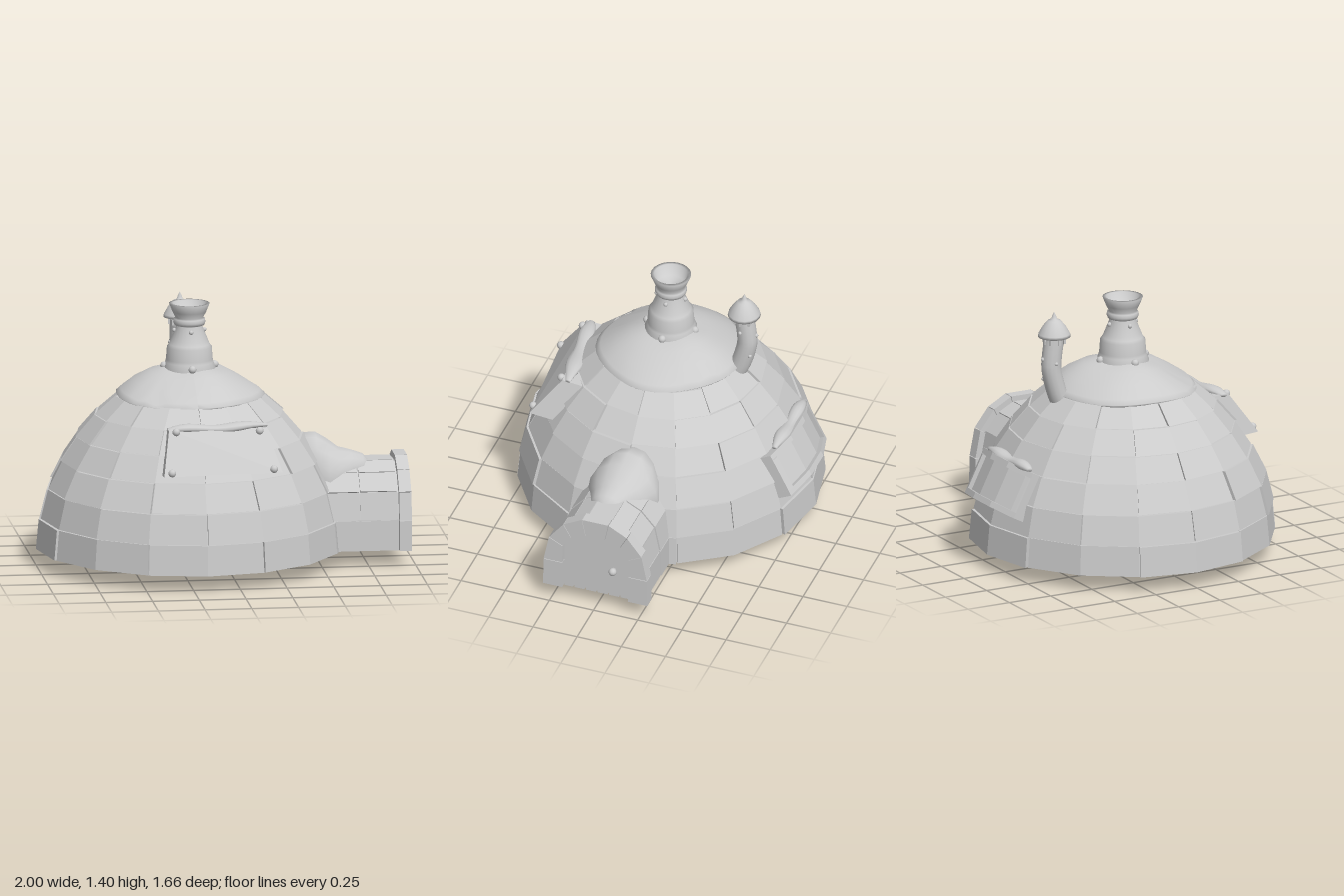
import * as THREE from 'three';
import { ConvexGeometry } from 'three/addons/geometries/ConvexGeometry.js';

const CX = -0.18; // dome axis
const STEP = Math.PI / 8;
const mat = new THREE.MeshStandardMaterial({ color: 0xcccccc, side: THREE.DoubleSide });
const flat = new THREE.MeshStandardMaterial({ color: 0xcccccc, flatShading: true, side: THREE.DoubleSide });

function add(parent, name, geo, m = mat, x = 0, y = 0, z = 0) {
  const mesh = new THREE.Mesh(geo, m);
  mesh.name = name;
  mesh.position.set(x, y, z);
  parent.add(mesh);
  return mesh;
}

function group(parent, name, x = 0, y = 0, z = 0) {
  const g = new THREE.Group();
  g.name = name;
  g.position.set(x, y, z);
  parent.add(g);
  return g;
}

// Closed solid through a list of rings with equal point counts
function loft(rings) {
  const n = rings[0].length, idx = [], last = (rings.length - 1) * n;
  const pts = rings.flat();
  for (let i = 0; i < rings.length - 1; i++) for (let j = 0; j < n; j++) {
    const a = i * n + j, b = i * n + (j + 1) % n;
    idx.push(a, b, b + n, a, b + n, a + n);
  }
  for (let j = 1; j < n - 1; j++) idx.push(0, j + 1, j, last, last + j, last + j + 1);
  let volume = 0;
  const v = i => new THREE.Vector3(...pts[i]);
  for (let i = 0; i < idx.length; i += 3) volume += v(idx[i]).dot(v(idx[i + 1]).cross(v(idx[i + 2])));
  if (volume < 0) idx.reverse();
  const geo = new THREE.BufferGeometry();
  geo.setAttribute('position', new THREE.Float32BufferAttribute(pts.flat(), 3));
  geo.setIndex(idx);
  geo.computeVertexNormals();
  return geo;
}

const lathe = (pts, seg) => new THREE.LatheGeometry(pts.map(p => new THREE.Vector2(...p)), seg);
const rivet = (parent, x, y, z, r = 0.02) => add(parent, 'rivet', new THREE.SphereGeometry(r, 10, 8), mat, x, y, z);
const mix = (a, b, t) => a.map((v, i) => v + (b[i] - v) * t);

// Row edges of the dome: radius, height
const rows = [[0.812, 0.085], [0.797, 0.25], [0.758, 0.41], [0.685, 0.56], [0.6, 0.69], [0.5, 0.81], [0.39, 0.91]];

function buildDome(root) {
  const dome = group(root, 'dome', CX);
  add(dome, 'domeCore', lathe([...rows.map(([r, y]) => [r - 0.014, y]), [0, 0.95]], 16), flat);
  add(dome, 'roundedBase', lathe([[0, 0], [0.15, 0.004], [0.32, 0.018], [0.8, 0.086]], 16), mat);
  for (let k = 0; k < 6; k++) {
    const [r0, y0] = rows[k], [r1, y1] = rows[k + 1];
    for (let b = 0; b < 8; b++) {
      const start = (b * 2 + (k % 2 ? 0 : 1)) * STEP;
      const out = 0.007 * Math.sin(b * 2.7 + k * 1.9) + 0.003;
      const gap = 0.004 / r0;
      const rings = [start + gap, start + STEP, start + 2 * STEP - gap].map(a =>
        [[r0 + out, y0 + 0.002], [r1 + out, y1 - 0.002], [r1 - 0.05, y1 - 0.002], [r0 - 0.05, y0 + 0.002]]
          .map(([r, y]) => [r * Math.sin(a), y, r * Math.cos(a)]));
      add(dome, 'iceBlock', loft(rings), flat);
    }
  }
  // Smooth snow cap with a slightly wavy rim
  const cap = lathe([[0.33, 0.895], [0.385, 0.9], [0.395, 0.912], [0.37, 0.935], [0.3, 0.985], [0.21, 1.035], [0.12, 1.062], [0, 1.075]], 40);
  const p = cap.attributes.position;
  for (let i = 0; i < p.count; i++) {
    const a = Math.atan2(p.getX(i), p.getZ(i)), r = Math.hypot(p.getX(i), p.getZ(i));
    const w = 1 + 0.015 * Math.sin(a * 5) * r / 0.4;
    p.setXYZ(i, p.getX(i) * w, p.getY(i) + 0.015 * r / 0.4 * (Math.sin(a * 3) - Math.cos(a)) * (r < 0.37 ? 1 : 0.3), p.getZ(i) * w);
  }
  cap.computeVertexNormals();
  add(dome, 'snowCap', cap);
}

function buildChimney(root) {
  const g = group(root, 'chimney', CX);
  add(g, 'chimneyBody', lathe([[0.14, 1.0], [0.14, 1.055], [0.128, 1.085], [0.125, 1.1], [0.12, 1.165], [0.108, 1.18],
    [0.1, 1.2], [0.068, 1.28], [0.08, 1.285], [0.086, 1.3], [0.083, 1.318], [0.074, 1.325], [0.09, 1.355],
    [0.108, 1.4], [0.09, 1.4], [0.07, 1.34], [0, 1.33]], 24));
  for (let i = 0; i < 4; i++) {
    const a = i * Math.PI / 2;
    rivet(g, 0.135 * Math.sin(a), 1.065, 0.135 * Math.cos(a), 0.021);
    rivet(g, 0.08 * Math.sin(a), 1.255, 0.08 * Math.cos(a), 0.012);
  }
}

function buildStovePipe(root) {
  const g = group(root, 'stovePipe', CX);
  const path = new THREE.CatmullRomCurve3([[0.85, -0.365], [0.93, -0.4], [1.06, -0.432], [1.12, -0.43], [1.23, -0.415]]
    .map(([y, z]) => new THREE.Vector3(0, y, z)));
  add(g, 'pipe', new THREE.TubeGeometry(path, 16, 0.054, 14));
  add(g, 'pipeHood', lathe([[0, 1.235], [0.05, 1.24], [0.088, 1.24], [0.085, 1.255], [0.062, 1.295], [0.035, 1.328],
    [0.016, 1.335], [0.012, 1.35], [0, 1.375]], 16), mat, 0, 0, -0.415);
  for (let i = 0; i < 8; i++) {
    const a = i * Math.PI / 4;
    add(g, 'hoodPost', new THREE.BoxGeometry(0.014, 0.04, 0.014), flat, 0.056 * Math.sin(a), 1.222, -0.415 + 0.056 * Math.cos(a));
  }
  for (const [x, y, z] of [[0, 1.12, -0.483], [0.035, 1.0, -0.46], [0.05, 1.15, -0.41], [-0.05, 1.1, -0.43]]) rivet(g, x, y, z, 0.011);
}

// Half arches from the ground to the crown: z, y
const frameOut = [[0.295, 0.085], [0.292, 0.25], [0.262, 0.4], [0.18, 0.505], [0.075, 0.562]];
const frameIn = [[0.187, 0.085], [0.187, 0.25], [0.185, 0.36], [0.135, 0.425], [0.055, 0.462]];
const wallOut = [[0.272, 0.085], [0.268, 0.25], [0.238, 0.4], [0.16, 0.49], [0.07, 0.537]];
const wallIn = [[0.215, 0.085], [0.21, 0.25], [0.185, 0.37], [0.125, 0.44], [0.05, 0.48]];
const wholeArch = half => [...half, ...half.map(([z, y]) => [-z, y]).reverse()];

function archBlocks(parent, name, outer, inner, x0, x1, gap) {
  const O = wholeArch(outer), I = wholeArch(inner);
  for (let i = 0; i < O.length - 1; i++) {
    const ring = [mix(O[i], O[i + 1], gap), mix(O[i], O[i + 1], 1 - gap), mix(I[i], I[i + 1], 1 - gap), mix(I[i], I[i + 1], gap)];
    add(parent, name, loft([x0, x1].map(x => ring.map(([z, y]) => [x, y, z]))), flat);
  }
}

function buildEntrance(root) {
  const g = group(root, 'entrance');
  archBlocks(g, 'tunnelCore', wallOut.map(([z, y]) => [z - 0.01, y - (y > 0.3 ? 0.01 : 0)]), wallIn, 0.42, 0.93, 0);
  archBlocks(g, 'tunnelBlock', wallOut, wallIn, 0.42, 0.698, 0.015);
  archBlocks(g, 'tunnelBlock', wallOut.map(([z, y]) => [z * 0.985, y]), wallIn, 0.706, 0.9, 0.02);
  archBlocks(g, 'doorFrameBlock', frameOut, frameIn, 0.91, 0.975, 0.012);
  // Arched door made of upright planks
  const top = z => {
    const P = wholeArch(frameIn);
    for (let i = 2; i < P.length - 3; i++) if (z <= P[i][0] && z >= P[i + 1][0])
      return P[i][1] + (P[i + 1][1] - P[i][1]) * (P[i][0] - z) / (P[i][0] - P[i + 1][0]);
    return 0.36;
  };
  const slab = (name, z0, z1, x0, x1) => {
    const ring = [[z0, 0.088], [z1, 0.088]];
    for (let i = 0; i <= 6; i++) { const z = z1 + (z0 - z1) * i / 6; ring.push([z, top(z)]); }
    add(g, name, loft([x0, x1].map(x => ring.map(([z, y]) => [x, y, z]))), flat);
  };
  slab('doorBacking', -0.186, 0.186, 0.92, 0.938);
  const cuts = [-0.186, -0.13, -0.065, 0, 0.065, 0.13, 0.186];
  for (let i = 0; i < 6; i++) slab('doorPlank', cuts[i] + 0.004, cuts[i + 1] - 0.004, 0.935, 0.953);
  add(g, 'knobStem', new THREE.CylinderGeometry(0.01, 0.01, 0.03, 10).rotateZ(Math.PI / 2), mat, 0.962, 0.265, -0.1);
  rivet(g, 0.978, 0.265, -0.1, 0.022).name = 'doorKnob';
  // Snow drift over the tunnel: x, base y, top y, half width, centre z
  const drift = [[0.36, 0.5, 0.62, 0.1, -0.02], [0.42, 0.46, 0.68, 0.16, -0.015], [0.49, 0.44, 0.685, 0.19, -0.005],
    [0.55, 0.43, 0.65, 0.2, 0], [0.61, 0.45, 0.605, 0.165, 0.01], [0.68, 0.48, 0.588, 0.12, 0.02], [0.74, 0.49, 0.568, 0.09, 0.025], [0.775, 0.5, 0.53, 0.04, 0.03]];
  add(g, 'snowDrift', loft(drift.map(([x, y0, y1, w, zc]) => Array.from({ length: 16 }, (_, j) => {
    const a = j / 16 * Math.PI * 2, s = Math.sin(a);
    return [x, y0 + (s > 0 ? s * (y1 - y0) : s * 0.04), zc + w * Math.cos(a)];
  }))));
}

// Lumpy strip of snow from a to b
function snowStrip(parent, a, b, h, d) {
  const rings = [];
  for (let i = 0; i <= 14; i++) {
    const t = i / 14, c = mix(a, b, t), s = Math.pow(Math.sin(Math.PI * (0.03 + 0.94 * t)), 0.4) * (1 + 0.18 * Math.sin(t * 11));
    rings.push(Array.from({ length: 12 }, (_, j) => {
      const q = j / 12 * Math.PI * 2;
      return [c[0], c[1] + h * s * Math.sin(q) + 0.006 * Math.sin(t * 9), c[2] + d * s * Math.cos(q)];
    }));
  }
  add(parent, 'snowStrip', loft(rings));
}

function buildFrontPanel(root) {
  const g = group(root, 'frontPanel');
  const corners = [[-0.4, 0.605, 0.7], [0.24, 0.605, 0.645], [0.17, 0.815, 0.485], [-0.355, 0.83, 0.54]];
  const pts = corners.flatMap(([x, y, z]) => [[x, y, z], [x, y - 0.012, z - 0.13]]).map(p => new THREE.Vector3(...p));
  add(g, 'panelBoard', new ConvexGeometry(pts), flat);
  const mid = [-0.09, 0.71, 0.593];
  for (const c of corners) { const [x, y, z] = mix(c, mid, 0.14); rivet(g, x, y + 0.004, z + 0.004, 0.021); }
  snowStrip(g, [-0.36, 0.822, 0.515], [0.18, 0.822, 0.45], 0.024, 0.045);
}

function buildBackWindow(root) {
  const g = group(root, 'backWindow', -0.15, 0.485, -0.775);
  g.rotation.order = 'YXZ';
  g.rotation.set(-0.47, Math.PI, 0);
  // Bars follow the bulge of the wall
  const bar = (name, w, h, d, x, y, z) => {
    const geo = new THREE.BoxGeometry(w, h, d, 3).translate(x, y, z), p = geo.attributes.position;
    for (let i = 0; i < p.count; i++) p.setZ(i, p.getZ(i) - 0.85 * p.getX(i) ** 2);
    add(g, name, geo, flat);
  };
  for (const s of [-1, 1]) {
    bar('frameRail', 0.54, 0.032, 0.13, 0, s * 0.114, -0.05);
    bar('frameStile', 0.035, 0.2, 0.13, s * 0.252, 0, -0.05);
  }
  bar('windowPane', 0.48, 0.2, 0.1, 0, 0, -0.06);
  snowStrip(root, [-0.385, 0.59, -0.675], [0.06, 0.59, -0.675], 0.028, 0.04);
}

export function createModel() {
  const root = new THREE.Group();
  root.name = 'iceHouse';
  buildDome(root);
  buildChimney(root);
  buildStovePipe(root);
  buildEntrance(root);
  buildFrontPanel(root);
  buildBackWindow(root);
  return root;
}
